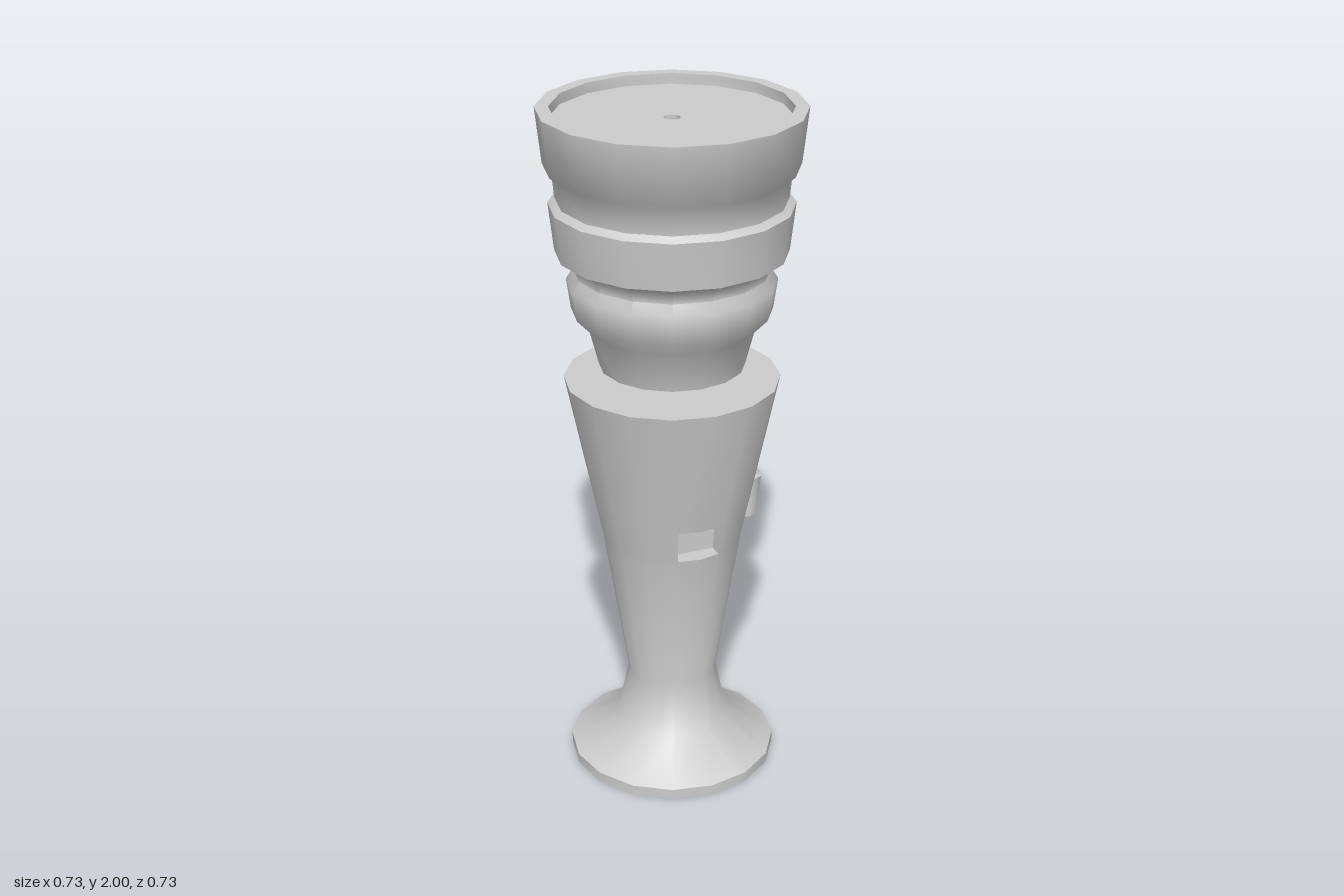
import * as THREE from 'three';
import { toCreasedNormals } from 'three/addons/utils/BufferGeometryUtils.js';

const SIDES = 16;
const material = new THREE.MeshStandardMaterial({ color: 0xcccccc });

function addMesh(group, name, geometry, crease = 0.9) {
  const mesh = new THREE.Mesh(toCreasedNormals(geometry, crease), material);
  mesh.name = name;
  group.add(mesh);
  return mesh;
}

function lathe(profile, sides) {
  return new THREE.LatheGeometry(profile.map(([r, y]) => new THREE.Vector2(r, y)), sides);
}

// Flared pedestal: stacked 16-sided rings with a rectangular opening in front
function pedestalGeometry() {
  const rings = [[0.305, 0], [0.305, 0.03], [0.165, 0.12], [0.13, 0.28], [0.2, 0.72],
    [0.203, 0.735], [0.224, 0.835], [0.305, 1.225]];
  const openRing = 5;

  // Columns go round from +z towards +x; two extra ones bound the opening
  const columns = [];
  for (let i = 0; i < SIDES; i++) {
    const a = (i / SIDES) * Math.PI * 2;
    if (i === SIDES - 1) {
      columns.push([Math.sin(a), Math.cos(a)], [-0.31, 0.938]);
    } else {
      columns.push([Math.sin(a), Math.cos(a)]);
      if (i === 0) columns.push([0.31, 0.938]);
    }
  }
  const n = columns.length;
  const point = (ring, col) => {
    const [r, y] = rings[ring];
    const [x, z] = columns[(col + n) % n];
    return [x * r, y, z * r];
  };

  const positions = [];
  const tri = (a, b, c) => positions.push(...a, ...b, ...c);
  const quad = (a, b, c, d) => { tri(a, b, c); tri(a, c, d); };

  // Outer wall, leaving out the two cells of the opening
  for (let j = 0; j < rings.length - 1; j++) {
    for (let i = 0; i < n; i++) {
      if (j === openRing && (i === 0 || i === n - 1)) continue;
      quad(point(j, i), point(j, i + 1), point(j + 1, i + 1), point(j + 1, i));
    }
  }

  // Bottom and top caps
  const last = rings.length - 1;
  for (let i = 0; i < n; i++) {
    tri([0, 0, 0], point(0, i + 1), point(0, i));
    tri([0, rings[last][1], 0], point(last, i), point(last, i + 1));
  }

  // Inside of the opening: the rim runs anticlockwise seen from the front
  const rim = [point(openRing, -1), point(openRing, 0), point(openRing, 1),
    point(openRing + 1, 1), point(openRing + 1, 0), point(openRing + 1, -1)];
  const inner = rim.map(([x, y]) => [x, y, 0.15]);
  rim.forEach((p, k) => {
    const m = (k + 1) % rim.length;
    quad(p, rim[m], inner[m], inner[k]);
  });
  quad(inner[0], inner[2], inner[3], inner[5]);

  const geometry = new THREE.BufferGeometry();
  geometry.setAttribute('position', new THREE.Float32BufferAttribute(positions, 3));
  return geometry;
}

export function createModel() {
  const model = new THREE.Group();
  model.name = 'steppedCupOnPedestal';

  addMesh(model, 'pedestal', pedestalGeometry());

  // Stepped head with a shallow dished top and a small central hole
  addMesh(model, 'steppedHead', lathe([
    [0, 1.222], [0.116, 1.226], [0.206, 1.265], [0.237, 1.385], [0.28, 1.43], [0.292, 1.515],
    [0.272, 1.545], [0.282, 1.58], [0.322, 1.6], [0.337, 1.735], [0.318, 1.75],
    [0.325, 1.825], [0.349, 1.845], [0.366, 2], [0.328, 2], [0.328, 1.97],
    [0.023, 1.97], [0.023, 1.945], [0, 1.945],
  ], SIDES));

  // Small bottle-shaped knob on the left side, leaning with the wall
  const knob = lathe([
    [0, 0], [0.045, 0], [0.045, 0.12], [0.036, 0.125], [0.022, 0.187], [0, 0.187],
  ], 8);
  const pos = knob.attributes.position;
  for (let i = 0; i < pos.count; i++) pos.setX(i, pos.getX(i) + pos.getY(i) * 0.1);
  addMesh(model, 'sideKnob', knob).position.set(0.246, 0.725, -0.045);

  return model;
}
